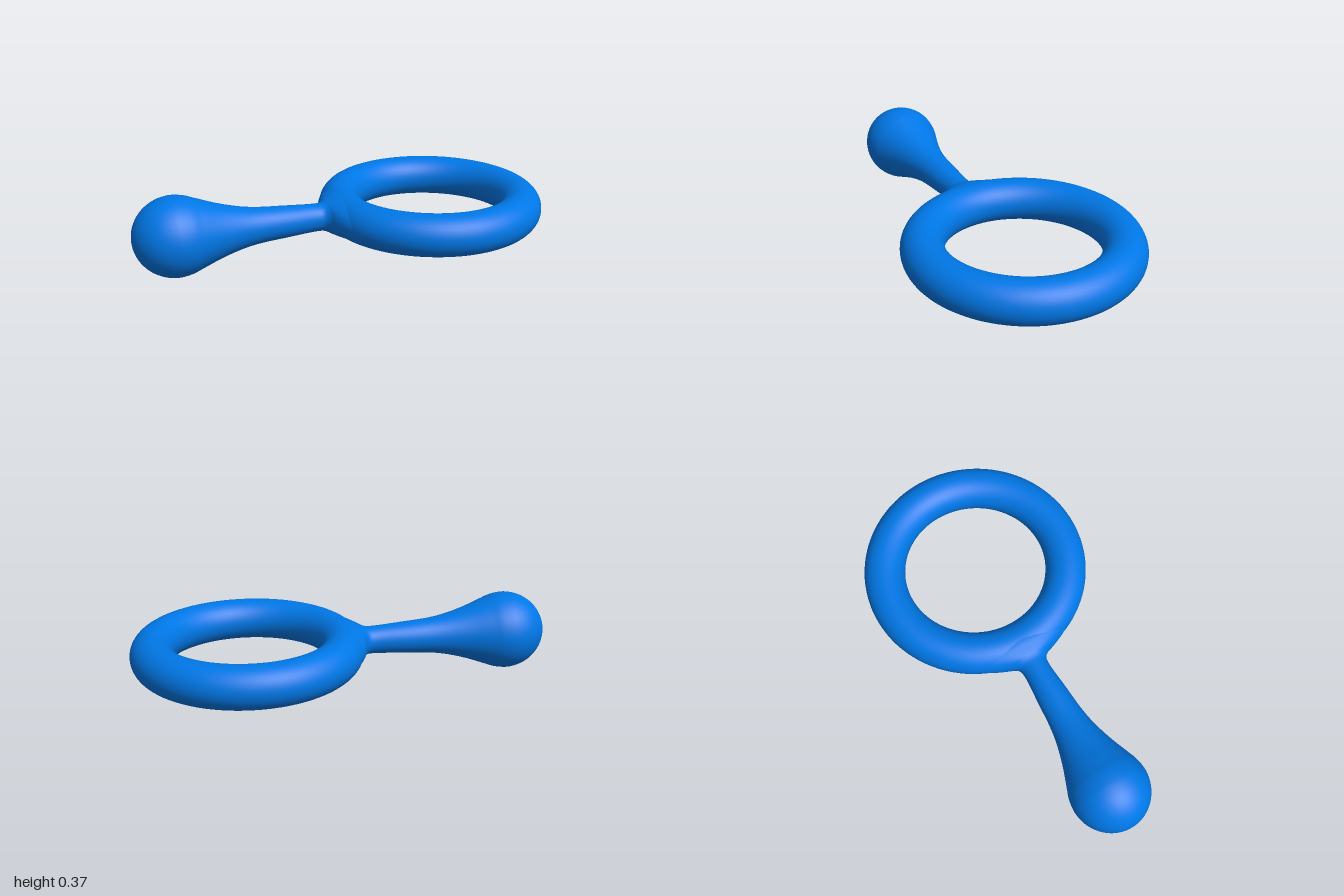
import * as THREE from 'three';

const CENTRE_Y = 0.188;

// Smooth loft along x through [x, halfHeight, halfWidth] elliptical stations.
function loftAlongX(stations, steps, sides) {
  const curve = new THREE.CatmullRomCurve3(stations.map((s) => new THREE.Vector3(...s)), false, 'centripetal');
  const positions = [];
  const index = [];
  for (let i = 0; i <= steps; i++) {
    const s = curve.getPoint(i / steps);
    for (let j = 0; j < sides; j++) {
      const a = (j / sides) * Math.PI * 2;
      positions.push(s.x, s.y * Math.cos(a), s.z * Math.sin(a));
      if (i === steps) continue;
      const p = i * sides + j;
      const q = i * sides + ((j + 1) % sides);
      index.push(p, q, p + sides, q, q + sides, p + sides);
    }
  }
  const geometry = new THREE.BufferGeometry();
  geometry.setAttribute('position', new THREE.Float32BufferAttribute(positions, 3));
  geometry.setIndex(index);
  geometry.computeVertexNormals();
  return geometry;
}

export function createModel() {
  const group = new THREE.Group();
  const material = new THREE.MeshStandardMaterial({ color: 0x0077e6 });

  // Round ring lying flat
  const ring = new THREE.Mesh(new THREE.TorusGeometry(0.444, 0.099, 40, 128), material);
  ring.name = 'ring';
  ring.rotation.x = -Math.PI / 2;
  ring.position.set(0.457, CENTRE_Y, 0);
  group.add(ring);

  // Handle: ball end, tapering neck and a flare that melts into the ring
  const stations = [];
  const ballRadius = 0.187;
  for (let i = 0; i <= 9; i++) {
    const a = (i / 9) * Math.PI * 0.5;
    const r = Math.max(ballRadius * Math.sin(a), 0.0005);
    stations.push([-0.805 - 0.195 * Math.cos(a), r, r]);
  }
  stations.push(
    [-0.75, 0.179, 0.179],
    [-0.7, 0.161, 0.161],
    [-0.6, 0.125, 0.125],
    [-0.5, 0.098, 0.098],
    [-0.42, 0.085, 0.085],
    [-0.3, 0.076, 0.076],
    [-0.14, 0.066, 0.066],
    [-0.112, 0.066, 0.074],
    [-0.094, 0.07, 0.096],
    [-0.08, 0.076, 0.133],
    [-0.055, 0.085, 0.19],
    [-0.025, 0.094, 0.24],
    [0.01, 0.098, 0.27],
  );
  const handle = new THREE.Mesh(loftAlongX(stations, 150, 64), material);
  handle.name = 'handle';
  handle.position.y = CENTRE_Y;
  group.add(handle);

  return group;
}
